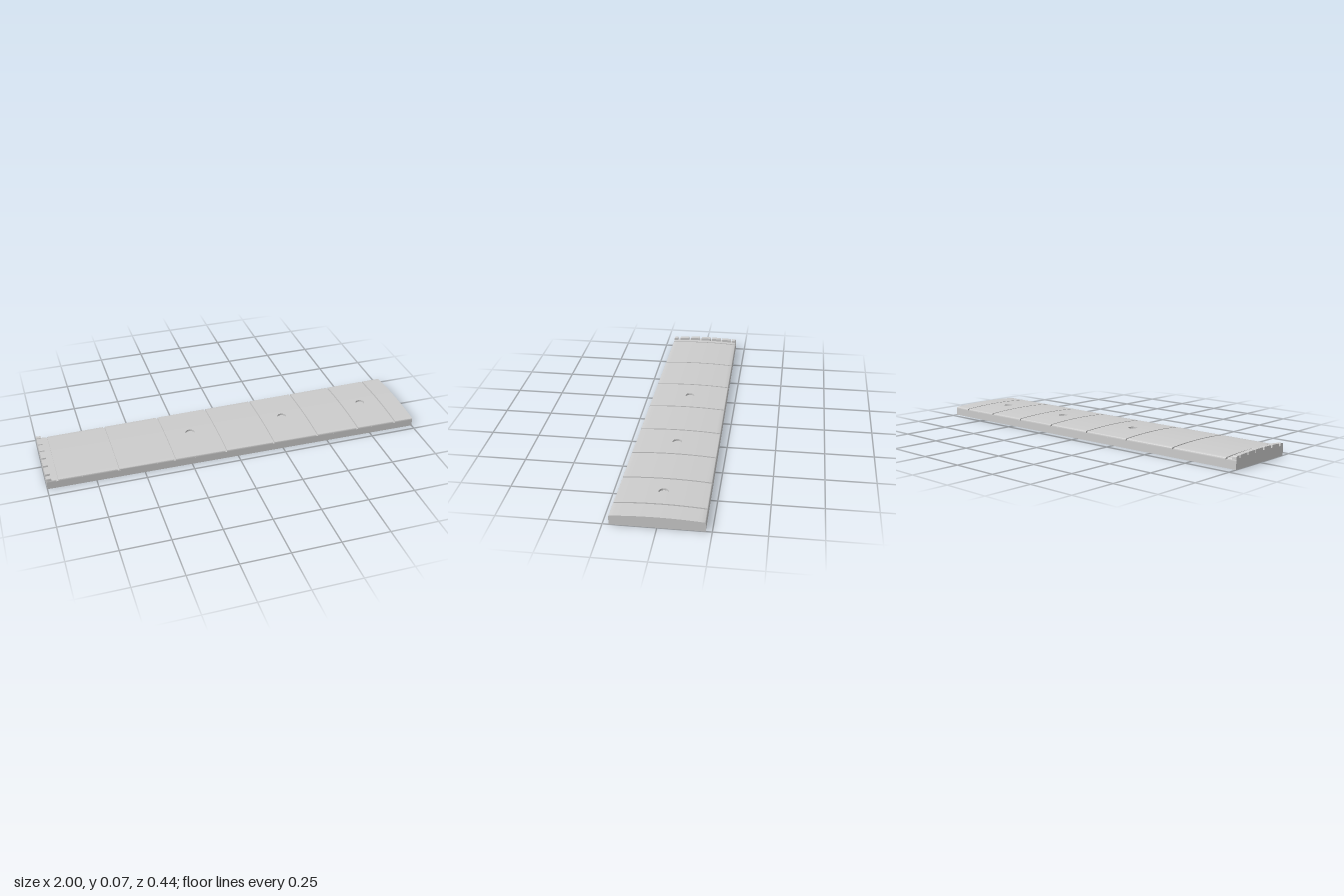
import * as THREE from 'three';
import { mergeGeometries, toCreasedNormals } from 'three/addons/utils/BufferGeometryUtils.js';

const DEPTH = 0.01, FILLET = 0.006, SLOT = 0.009, HOLE = 0.024, N = 24;
const slotXs = [-0.946, -0.636, -0.341, -0.066, 0.196, 0.441, 0.674, 0.893];
const holeXs = [-0.205, 0.318, 0.785];

// board shape: tapering half width, cambered top
const half = x => 0.208 + 0.0125 * x;
const crown = z => 0.0565 - 0.19 * z * z;
const V = (x, y, z) => new THREE.Vector3(x, y, z);

// surface through rows of points; it faces (along the row) x (row to row)
function skin(rows) {
  const n = rows[0].length, index = [];
  for (let j = 0; j < rows.length - 1; j++) {
    for (let i = 0; i < n - 1; i++) {
      const a = j * n + i, b = a + 1, c = a + n, d = c + 1;
      index.push(a, b, d, a, d, c);
    }
  }
  const g = new THREE.BufferGeometry().setFromPoints(rows.flat());
  g.setIndex(index);
  return g;
}

function makeMesh(name, parts, material) {
  const g = toCreasedNormals(mergeGeometries(parts), 0.5);
  const mesh = new THREE.Mesh(g, material);
  mesh.name = name;
  return mesh;
}

// sunken top line across the board
function lowRow(x) {
  const w = half(x);
  return Array.from({ length: N + 1 }, (_, i) => {
    const z = w * (2 * i / N - 1);
    return V(x, crown(z) - DEPTH, z);
  });
}

// one rounded edge of a panel, from the side wall up to the crown
function edgeRow(x, side) {
  const w = half(x), yc = crown(w - FILLET) - FILLET;
  const row = [V(x, crown(w) - DEPTH, side * w)];
  for (let k = 0; k <= 5; k++) {
    const a = k / 5 * Math.PI / 2;
    row.push(V(x, yc + FILLET * Math.sin(a), side * (w - FILLET + FILLET * Math.cos(a))));
  }
  return side < 0 ? row : row.reverse();
}

function topRow(x) {
  const w = half(x) - FILLET;
  return Array.from({ length: N + 1 }, (_, i) => {
    const z = w * (2 * i / N - 1);
    return V(x, crown(z), z);
  });
}

// top of a panel opened by a round hole: rings running out to the rim
function holedTop(x0, x1, xc) {
  const rim = [];
  const corners = [[1, -1], [1, 1], [-1, 1], [-1, -1], [1, -1]];
  for (let c = 0; c < 4; c++) {
    for (let k = 0; k < N; k++) {
      const s = THREE.MathUtils.lerp(corners[c][0], corners[c + 1][0], k / N);
      const t = THREE.MathUtils.lerp(corners[c][1], corners[c + 1][1], k / N);
      const x = (x0 + x1) / 2 + s * (x1 - x0) / 2;
      rim.push([x, t * (half(x) - FILLET)]);
    }
  }
  rim.push(rim[0]);
  const ring = (f, drop = 0) => rim.map(([x, z]) => {
    const a = Math.atan2(z, x - xc);
    const px = THREE.MathUtils.lerp(xc + HOLE * Math.cos(a), x, f);
    const pz = THREE.MathUtils.lerp(HOLE * Math.sin(a), z, f);
    return V(px, crown(pz) - drop, pz);
  });
  const rings = Array.from({ length: 9 }, (_, i) => ring(i / 8));
  return [skin(rings), skin([ring(0, DEPTH), ring(0)])];
}

function panelParts(x0, x1) {
  const parts = [-1, 1].map(s => skin([edgeRow(x0, s), edgeRow(x1, s)]));
  const xc = holeXs.find(h => h > x0 && h < x1);
  if (xc === undefined) parts.push(skin([topRow(x0), topRow(x1)]));
  else parts.push(...holedTop(x0, x1, xc));
  // end walls
  for (const [x, dir] of [[x0, -1], [x1, 1]]) {
    const upper = [...edgeRow(x, -1), ...topRow(x), ...edgeRow(x, 1)];
    const lower = upper.map(p => V(x, crown(p.z) - DEPTH, p.z));
    parts.push(skin(dir > 0 ? [upper, lower] : [lower, upper]));
  }
  return parts;
}

function baseParts() {
  const loop = x => {
    const w = half(x), top = lowRow(x);
    return [...top, V(x, 0, w), V(x, 0, -w), top[0].clone()];
  };
  const floor = x => lowRow(x).map(p => V(x, 0, p.z));
  return [
    skin([loop(-1), loop(1)]),
    skin([lowRow(1), floor(1)]),
    skin([floor(-1), lowRow(-1)]),
  ];
}

// one tooth of the nut between two string slots (u runs towards -z)
function nutTooth(u0, u1, r0, r1) {
  const top = u => 0.07 - 0.19 * u * u;
  const s = new THREE.Shape();
  s.moveTo(u0, 0.0435);
  s.lineTo(u0, top(u0) - r0);
  s.quadraticCurveTo(u0, top(u0), u0 + r0, top(u0 + r0));
  for (let k = 1; k <= 6; k++) {
    const u = THREE.MathUtils.lerp(u0 + r0, u1 - r1, k / 6);
    s.lineTo(u, top(u));
  }
  s.quadraticCurveTo(u1, top(u1), u1, top(u1) - r1);
  s.lineTo(u1, 0.0435);
  const g = new THREE.ExtrudeGeometry(s, { depth: 0.025, bevelEnabled: false, curveSegments: 5 });
  return g.rotateY(Math.PI / 2).translate(-1, 0, 0);
}

export function createModel() {
  const model = new THREE.Group();
  model.name = 'fretboard';
  const material = new THREE.MeshStandardMaterial({ color: 0xcccccc });

  model.add(makeMesh('boardBase', baseParts(), material));

  // raised panels; the gaps between them are the fret slots
  const panels = new THREE.Group();
  panels.name = 'fretPanels';
  const starts = [-1, ...slotXs.map(x => x + SLOT / 2)];
  const ends = [...slotXs.map(x => x - SLOT / 2), 1];
  starts.forEach((x0, i) => panels.add(makeMesh('fretPanel', panelParts(x0, ends[i]), material)));
  model.add(panels);

  // nut: teeth separated by six string slots of decreasing width
  const nut = new THREE.Group();
  nut.name = 'nut';
  const slots = [[-0.172, -0.158], [-0.101, -0.089], [-0.033, -0.022], [0.037, 0.044], [0.101, 0.108], [0.165, 0.171]];
  const from = [-0.195, ...slots.map(s => s[1])];
  const to = [...slots.map(s => s[0]), 0.195];
  from.forEach((u0, i) => {
    const r0 = i === 0 ? 0.007 : 0.002, r1 = i === 6 ? 0.007 : 0.002;
    nut.add(makeMesh('nutTooth', [nutTooth(u0, to[i], r0, r1)], material));
  });
  model.add(nut);
  return model;
}
